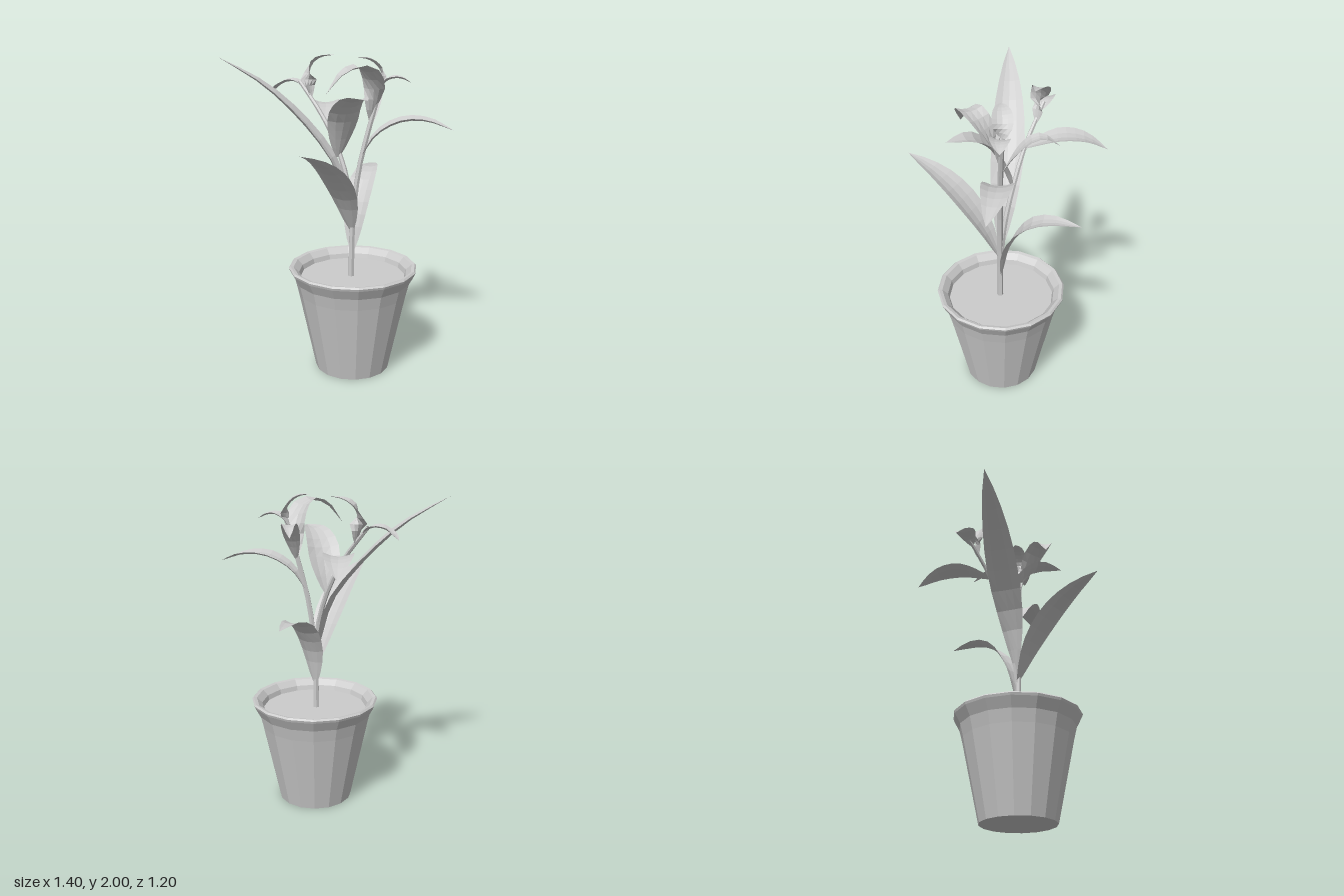
import * as THREE from 'three';

const material = new THREE.MeshStandardMaterial({ color: 0xcccccc, flatShading: true, side: THREE.DoubleSide });
const curveThrough = (points) => new THREE.CatmullRomCurve3(points.map((p) => new THREE.Vector3(...p)));

function addMesh(group, name, geometry) {
  const mesh = new THREE.Mesh(geometry, material);
  mesh.name = name;
  group.add(mesh);
  return mesh;
}

// Tapered six-sided stem along a curve
function stemGeometry(points, baseRadius, tipRadius) {
  const rings = 10, sides = 6;
  const curve = curveThrough(points);
  const geometry = new THREE.TubeGeometry(curve, rings, 1, sides);
  const pos = geometry.attributes.position;
  const v = new THREE.Vector3();
  for (let i = 0; i < pos.count; i++) {
    const t = Math.floor(i / (sides + 1)) / rings;
    const centre = curve.getPointAt(t);
    v.fromBufferAttribute(pos, i).sub(centre);
    v.multiplyScalar(THREE.MathUtils.lerp(baseRadius, tipRadius, t)).add(centre);
    pos.setXYZ(i, v.x, v.y, v.z);
  }
  geometry.computeVertexNormals();
  return geometry;
}

// Pointed blade: a plane bent along a curve, level across, with a shallow trough
function leafGeometry(points, width) {
  const across = 4, along = 10;
  const curve = curveThrough(points);
  const geometry = new THREE.PlaneGeometry(1, 1, across, along);
  const pos = geometry.attributes.position;
  const up = new THREE.Vector3(0, 1, 0);
  for (let j = 0; j <= along; j++) {
    const t = j / along;
    const centre = curve.getPointAt(t);
    const tangent = curve.getTangentAt(t);
    const side = new THREE.Vector3().crossVectors(up, tangent).normalize();
    const normal = new THREE.Vector3().crossVectors(tangent, side);
    const half = (width / 2) * (Math.sin(Math.PI * t) ** 0.85 + 0.14 * (1 - t));
    for (let i = 0; i <= across; i++) {
      const s = (i / across) * 2 - 1;
      const p = centre.clone().addScaledVector(side, s * half).addScaledVector(normal, s * s * half * 0.25);
      pos.setXYZ(j * (across + 1) + i, p.x, p.y, p.z);
    }
  }
  geometry.computeVertexNormals();
  return geometry;
}

export function createModel() {
  const model = new THREE.Group();
  model.name = 'pottedPlant';

  // Pot with flared lip and inner wall
  const profile = [
    [0, 0], [0.24, 0], [0.35, 0.52], [0.37, 0.6], [0.405, 0.665], [0.41, 0.68],
    [0.4, 0.69], [0.38, 0.685], [0.345, 0.65], [0.325, 0.58],
  ].map(([r, y]) => new THREE.Vector2(r, y));
  addMesh(model, 'pot', new THREE.LatheGeometry(profile, 16)).position.set(0.11, 0, 0.055);

  const soil = addMesh(model, 'soil', new THREE.CircleGeometry(0.335, 16).rotateX(-Math.PI / 2));
  soil.position.set(0.11, 0.62, 0.055);

  // Stems
  addMesh(model, 'mainStem', stemGeometry(
    [[0.1, 0.6, 0.06], [0.105, 0.95, 0.06], [0.14, 1.3, 0.06], [0.2, 1.56, 0.06], [0.28, 1.85, 0.055]], 0.02, 0.015));
  addMesh(model, 'sideStem', stemGeometry(
    [[0.105, 0.9, 0.055], [0.09, 1.15, 0.03], [0.03, 1.4, -0.03], [-0.07, 1.62, -0.11], [-0.21, 1.83, -0.23]], 0.018, 0.012));

  // Leaves: centre line from base to tip, then full width
  const leaves = {
    tallLeftLeaf: [[[0.09, 1.0, 0.05], [0, 1.32, 0.02], [-0.15, 1.54, -0.01], [-0.42, 1.81, -0.04], [-0.7, 1.99, -0.06]], 0.19],
    lowFrontLeaf: [[[0.1, 0.92, 0.06], [0.04, 1.14, 0.17], [-0.05, 1.33, 0.32], [-0.14, 1.44, 0.46], [-0.23, 1.51, 0.6]], 0.19],
    lowBackLeaf: [[[0.105, 0.78, 0.05], [0.13, 1.02, 0.0], [0.18, 1.19, -0.1], [0.235, 1.26, -0.23], [0.3, 1.26, -0.41]], 0.16],
    rightLeaf: [[[0.16, 1.4, 0.06], [0.25, 1.53, 0.07], [0.39, 1.61, 0.09], [0.54, 1.62, 0.12], [0.7, 1.57, 0.17]], 0.17],
    backLeaf: [[[-0.06, 1.6, -0.1], [-0.05, 1.64, -0.19], [-0.04, 1.675, -0.32], [-0.035, 1.66, -0.46], [-0.03, 1.59, -0.6]], 0.17],
    centreLeaf: [[[0.02, 1.38, -0.02], [0.04, 1.54, 0.04], [0.06, 1.67, 0.11], [0.1, 1.755, 0.21], [0.16, 1.775, 0.36]], 0.19],
    upperFrontLeaf: [[[0.21, 1.62, 0.06], [0.22, 1.82, 0.12], [0.15, 1.94, 0.2], [0.04, 1.92, 0.25], [-0.07, 1.8, 0.27]], 0.14],
    upperBackLeaf: [[[0.22, 1.6, 0.05], [0.24, 1.73, -0.03], [0.25, 1.82, -0.12], [0.25, 1.83, -0.18], [0.24, 1.77, -0.27]], 0.1],
    sideStemTopLeaf: [[[-0.14, 1.73, -0.18], [-0.155, 1.86, -0.2], [-0.12, 1.95, -0.2], [-0.06, 1.985, -0.18], [0.01, 1.995, -0.15]], 0.11],
    sideStemTipLeaf: [[[-0.18, 1.79, -0.21], [-0.23, 1.825, -0.23], [-0.29, 1.825, -0.245], [-0.34, 1.8, -0.255], [-0.385, 1.76, -0.28]], 0.12],
    mainStemTipLeaf: [[[0.26, 1.79, 0.055], [0.3, 1.85, 0.06], [0.34, 1.87, 0.07], [0.39, 1.87, 0.075], [0.45, 1.845, 0.08]], 0.11],
    mainStemTopLeaf: [[[0.28, 1.83, 0.055], [0.27, 1.91, 0.05], [0.23, 1.96, 0.05], [0.18, 1.985, 0.05], [0.13, 1.99, 0.045]], 0.11],
  };
  for (const [name, [points, width]] of Object.entries(leaves)) {
    addMesh(model, name, leafGeometry(points, width));
  }
  return model;
}
